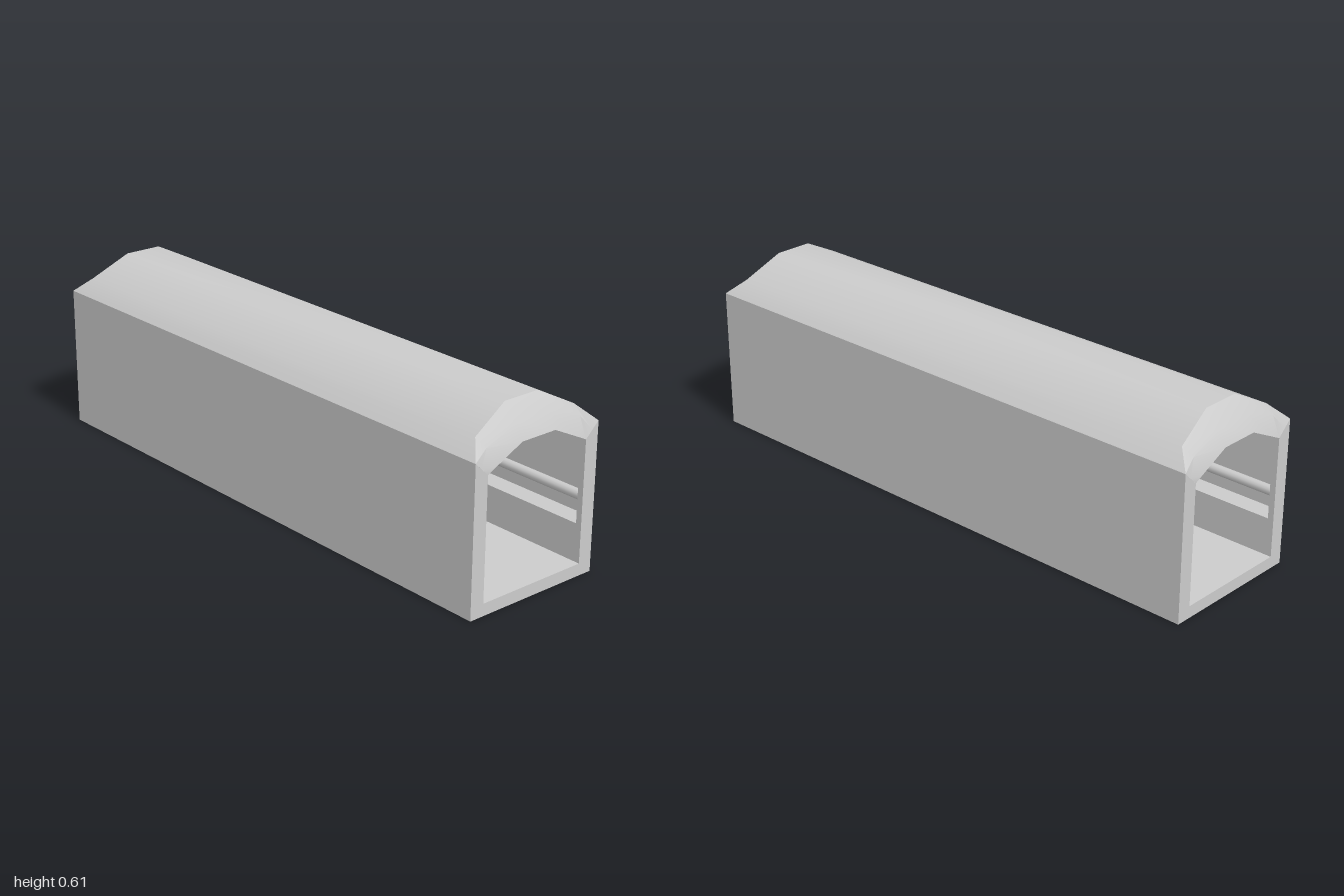
import * as THREE from 'three';
import { toCreasedNormals } from 'three/addons/utils/BufferGeometryUtils.js';

const material = new THREE.MeshStandardMaterial({ color: 0xcccccc });

function addMesh(group, name, geometry) {
  const mesh = new THREE.Mesh(geometry, material);
  mesh.name = name;
  group.add(mesh);
  return mesh;
}

// U-shaped section (floor and two walls) extruded along x; points are [z, y]
function channel(innerWall, x0, x1) {
  const half = [[0.25, 0], [0.25, 0.487], [0.2, 0.44], ...innerWall, [0.2, 0.04]];
  const mirrored = half.map(([z, y]) => [-z, y]).reverse();
  const shape = new THREE.Shape([...half, ...mirrored].map(([z, y]) => new THREE.Vector2(z, y)));
  const geometry = new THREE.ExtrudeGeometry(shape, { depth: x1 - x0, bevelEnabled: false });
  return geometry.rotateY(Math.PI / 2).translate(x0, 0, 0);
}

// Arched roof shell: rings of [x, y, z] run over the outside, round the ends and back inside
function roofGeometry() {
  const outer = [[1, 0.487, 0.25], [0.945, 0.537, 0.2], [0.925, 0.605, 0.067]];
  const middle = [[1, 0.464, 0.225], [0.98, 0.512, 0.19], [0.975, 0.555, 0.067]];
  const inner = [[1, 0.44, 0.2], [1, 0.455, 0.17], [1, 0.505, 0.067]];
  const ring = (half, side) => [
    ...half.map(([x, y, z]) => [side * x, y, z]),
    ...half.map(([x, y, z]) => [side * x, y, -z]).reverse(),
  ];
  const rings = [
    ring(inner, 1), ring(middle, 1), ring(outer, 1),
    ring(outer, -1), ring(middle, -1), ring(inner, -1),
  ];
  const index = [];
  const n = 6;
  for (let j = 0; j < n; j++) {
    const next = (j + 1) % n;
    for (let i = 0; i < n - 1; i++) {
      const a = j * n + i, d = next * n + i;
      index.push(a, a + 1, d, a + 1, d + 1, d);
    }
  }
  const geometry = new THREE.BufferGeometry();
  geometry.setAttribute('position', new THREE.Float32BufferAttribute(rings.flat(2), 3));
  geometry.setIndex(index);
  return toCreasedNormals(geometry, 0.6);
}

export function createModel() {
  const group = new THREE.Group();
  group.name = 'tunnelSection';

  // Floor and walls, with a long tapered recess inside each wall
  const recess = [[0.2, 0.3], [0.243, 0.285], [0.243, 0.18], [0.2, 0.165]];
  addMesh(group, 'floorAndWalls', channel(recess, -0.98, 0.98));

  // Plain frames closing the recesses at both ends
  addMesh(group, 'leftEndFrame', channel([], 0.98, 1));
  addMesh(group, 'rightEndFrame', channel([], -1, -0.98));

  addMesh(group, 'roof', roofGeometry());

  // Rails lying inside the wall recesses
  for (const side of [-1, 1]) {
    const rail = addMesh(group, side > 0 ? 'frontRail' : 'backRail',
      new THREE.CylinderGeometry(0.016, 0.016, 1.96, 12));
    rail.rotation.z = Math.PI / 2;
    rail.position.set(0, 0.245, side * 0.227);
  }
  return group;
}
